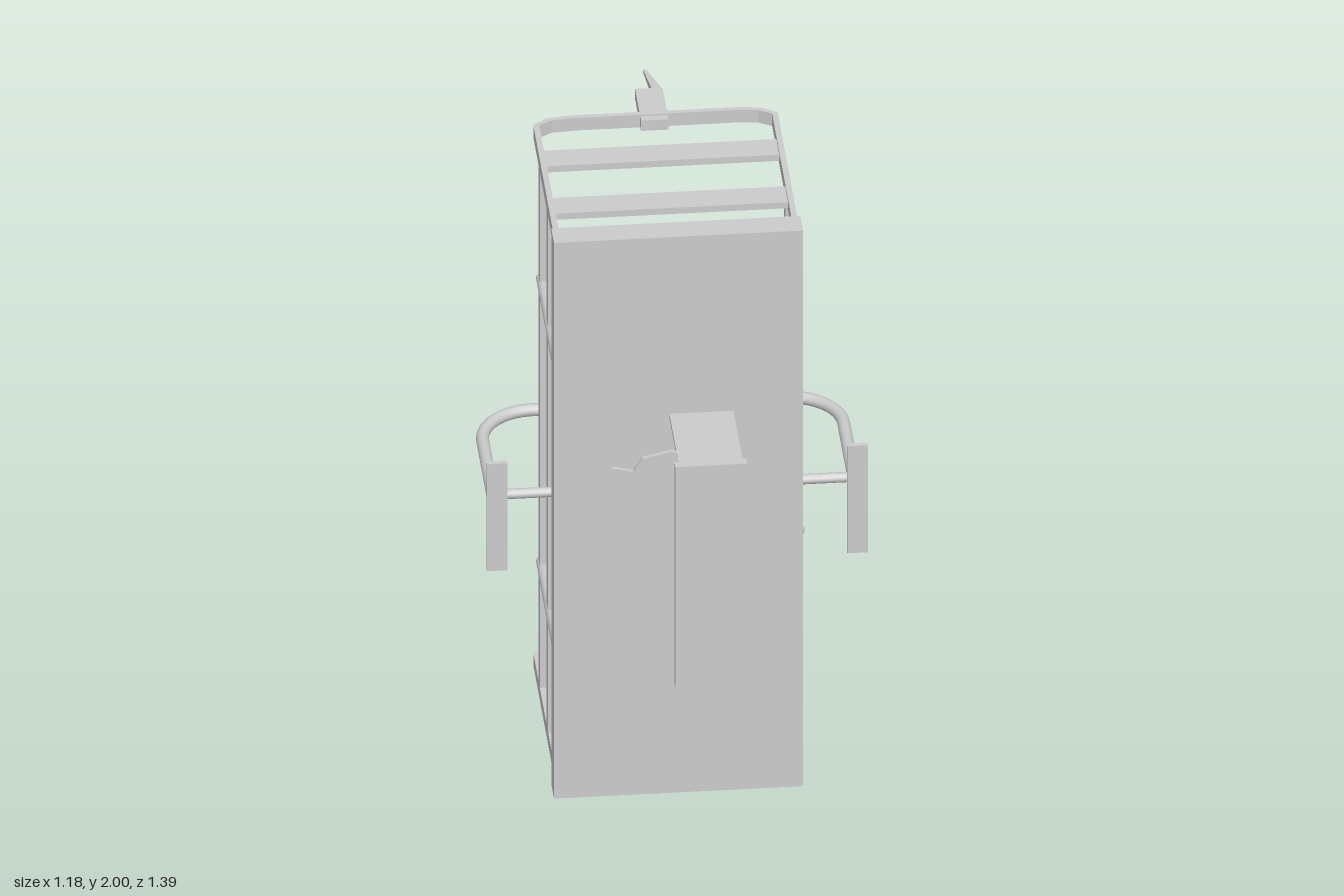
import * as THREE from 'three';

const mat = new THREE.MeshStandardMaterial({ color: 0xcccccc, side: THREE.DoubleSide });
const flatMat = new THREE.MeshStandardMaterial({ color: 0xcccccc, side: THREE.DoubleSide, flatShading: true });
const V = (x, y, z) => new THREE.Vector3(x, y, z);

export function createModel() {
  const model = new THREE.Group();

  const add = (name, geo, material = mat, parent = model) => {
    const m = new THREE.Mesh(geo, material);
    m.name = name;
    parent.add(m);
    return m;
  };
  // Box given by its limits on each axis
  const box = (name, x0, x1, y0, y1, z0, z1) => {
    const m = add(name, new THREE.BoxGeometry(x1 - x0, y1 - y0, z1 - z0));
    m.position.set((x0 + x1) / 2, (y0 + y1) / 2, (z0 + z1) / 2);
    return m;
  };
  // Round rod between two points
  const rod = (name, a, b, r, sides = 12) => {
    const m = add(name, new THREE.CylinderGeometry(r, r, a.distanceTo(b), sides));
    m.position.copy(a).add(b).multiplyScalar(0.5);
    m.quaternion.setFromUnitVectors(V(0, 1, 0), b.clone().sub(a).normalize());
    return m;
  };
  // Horizontal plate from an outline of [x, z] points
  const plate = (name, pts, y, height) => {
    const shape = new THREE.Shape(pts.map(([x, z]) => new THREE.Vector2(x, -z)));
    const geo = new THREE.ExtrudeGeometry(shape, { depth: height, bevelEnabled: false });
    geo.rotateX(-Math.PI / 2);
    const m = add(name, geo);
    m.position.y = y;
    return m;
  };

  // Shallow panel tray, open to the back
  box('panelFace', -0.385, 0.385, 0, 2, 0.345, 0.362);
  for (const s of [-1, 1]) {
    box('panelSideWall', s * 0.378 - 0.007, s * 0.378 + 0.007, 0, 2, 0.275, 0.35);
    const y = s < 0 ? 0 : 1.986;
    box('panelEndWall', -0.385, 0.385, y, y + 0.014, 0.275, 0.35);
  }

  // Upper and lower racks with slats and pointed latch
  const outer = [[0.378, 0.28], [0.378, -0.375], [0.33, -0.41], [0.26, -0.419]];
  const inner = [[0.36, 0.28], [0.36, -0.37], [0.32, -0.395], [0.25, -0.402]];
  const flip = (pts) => pts.map(([x, z]) => [-x, z]).reverse();
  const hoop = [...outer, ...flip(outer), ...flip(inner).reverse(), ...inner.slice().reverse()];
  for (const y of [0.035, 1.935]) {
    plate('rackHoop', hoop, y, 0.045);
    for (const z of [-0.19, 0.092]) box('rackSlat', -0.365, 0.365, y + 0.012, y + 0.034, z - 0.047, z + 0.047);
    box('latchBlock', -0.045, 0.04, y + 0.003, y + 0.04, -0.565, -0.375);
    box('latchFoot', -0.03, 0.03, y - 0.006, y + 0.006, -0.55, -0.42);
    const tip = plate('latchPointer', [[0.008, -0.56], [0.04, -0.56], [0.002, -0.7], [-0.008, -0.7]], y + 0.006, 0.03);
    // Thin the pointer towards its end
    const p = tip.geometry.attributes.position;
    for (let i = 0; i < p.count; i++) if (p.getZ(i) < -0.65) p.setY(i, 0.015 + (p.getY(i) - 0.015) * 0.3);
    tip.geometry.computeVertexNormals();
  }

  // Uprights, standoff rods and zigzag bracing
  for (const x of [-0.367, 0.367]) box('upright', x - 0.011, x + 0.011, 0.07, 1.945, 0.055, 0.104);
  box('rearUpright', -0.378, -0.356, 0.07, 1.945, -0.215, -0.167);
  for (const y of [0.505, 1.525]) rod('standoffRod', V(-0.367, y, 0.35), V(-0.367, y, -0.217), 0.018);
  for (let i = 0; i < 10; i++) {
    const z = (k) => (k % 2 ? 0.278 : 0.1);
    rod('brace', V(0.367, 1.91 - i * 0.181, z(i)), V(0.367, 1.91 - (i + 1) * 0.181, z(i + 1)), 0.005, 6);
  }

  // Wrap-around guard rail with end plates
  const rail = new THREE.CurvePath();
  const c = 0.0757; // bezier handle inset for a round corner
  rail.add(new THREE.LineCurve3(V(-0.558, 1, 0.32), V(-0.558, 1, -0.13)));
  rail.add(new THREE.CubicBezierCurve3(V(-0.558, 1, -0.13), V(-0.558, 1, -0.3 + c), V(-0.558 + c, 1, -0.3), V(-0.39, 1, -0.3)));
  rail.add(new THREE.LineCurve3(V(-0.39, 1, -0.3), V(0.39, 1, -0.3)));
  rail.add(new THREE.CubicBezierCurve3(V(0.39, 1, -0.3), V(0.558 - c, 1, -0.3), V(0.558, 1, -0.3 + c), V(0.558, 1, -0.13)));
  rail.add(new THREE.LineCurve3(V(0.558, 1, -0.13), V(0.558, 1, 0.32)));
  add('guardRail', new THREE.TubeGeometry(rail, 90, 0.02, 12));
  rod('railCrossbar', V(-0.55, 1, 0.19), V(0.55, 1, 0.19), 0.016);
  for (const s of [-1, 1]) {
    box('railEndPlate', s * 0.557 - 0.032, s * 0.557 + 0.032, 0.81, 1.195, 0.312, 0.329);
    rod('railStrut', V(s * 0.225, 1, -0.3), V(s * 0.225, 1, 0.19), 0.014);
    rod('railInnerStrut', V(s * 0.07, 1, -0.3), V(s * 0.07, 1, -0.03), 0.014);
  }

  // Long housing through the panel, open on one side
  box('housingWall', 0.157, 0.17, 0.592, 1.362, -0.25, 0.68);
  box('housingTop', -0.028, 0.17, 1.35, 1.364, -0.25, 0.68);
  box('housingBottom', -0.028, 0.17, 0.59, 0.604, -0.25, 0.68);
  box('housingFrontCap', -0.042, 0.18, 0.582, 1.374, 0.664, 0.695);
  box('housingRearCap', -0.04, 0.188, 0.585, 1.37, -0.263, -0.245);

  // Bent triangular flap beside the housing front
  const flap = new THREE.Shape([[-0.03, 0.6], [-0.03, 1.4], [-0.05, 1.408], [-0.14, 1.387], [-0.168, 1.343], [-0.235, 1.358]]
    .map(([x, y]) => new THREE.Vector2(x, y)));
  add('bentFlap', new THREE.ExtrudeGeometry(flap, { depth: 0.014, bevelEnabled: false })).position.z = 0.645;

  // Flared hub
  const profile = [[0, -0.06], [0.155, -0.06], [0.155, -0.045], [0.14, -0.04], [0.115, 0.11], [0.145, 0.2], [0.155, 0.27]];
  const hub = add('flaredHub', new THREE.LatheGeometry(profile.map(([r, z]) => new THREE.Vector2(r, z)), 16), flatMat);
  hub.rotation.x = Math.PI / 2;
  hub.position.set(0.01, 0.96, 0);
  box('hubBlock', -0.065, -0.025, 1.08, 1.16, -0.09, -0.02);

  // Rings and radial claws behind the panel
  const clamp = new THREE.Group();
  clamp.name = 'clampRing';
  clamp.position.set(0.04, 0.93, 0.255);
  model.add(clamp);
  for (const r of [0.2, 0.24, 0.28]) add('ring', new THREE.TorusGeometry(r, 0.013, 8, 40), mat, clamp);
  for (const deg of [-12, 62, 92, 130, 185, 235, 268]) {
    const a = THREE.MathUtils.degToRad(deg);
    const r = deg < 0 ? 0.3 : 0.34;
    const claw = add('claw', new THREE.CapsuleGeometry(0.022, 0.09, 4, 8), mat, clamp);
    claw.position.set(r * Math.cos(a), r * Math.sin(a), 0);
    claw.rotation.z = a - Math.PI / 2;
  }
  return model;
}
